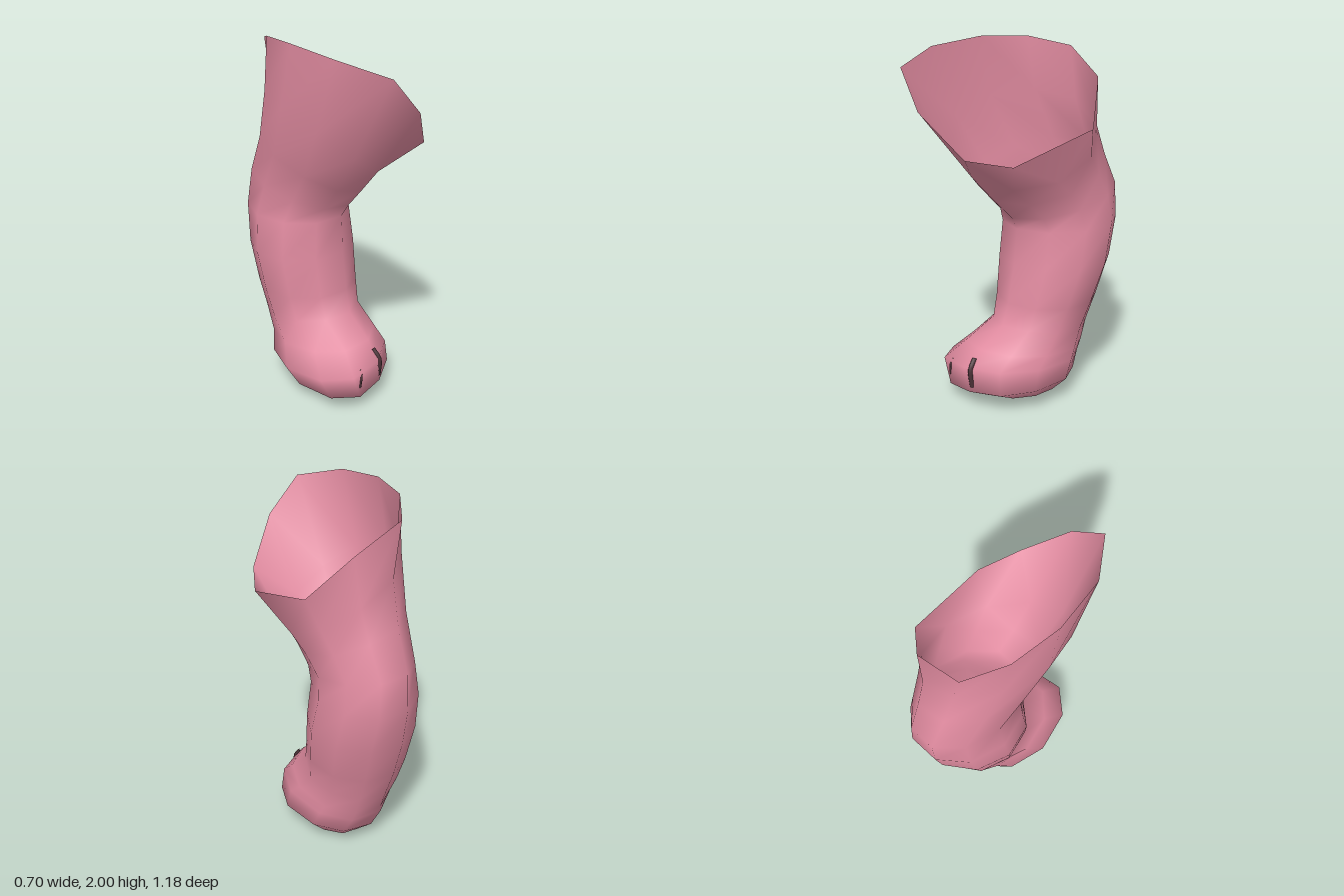
import * as THREE from 'three';

const SIDES = 10;

// Open rim of the thigh, from the front round by the +x side
const RIM = [
  [-0.07, 1.71, 0.59], [0.145, 1.49, 0.475], [0.285, 1.45, 0.285], [0.35, 1.58, -0.19], [0.2, 1.81, -0.37],
  [-0.06, 1.94, -0.42], [-0.22, 1.99, -0.25], [-0.32, 2.0, 0.0], [-0.35, 1.97, 0.3], [-0.25, 1.9, 0.56],
];

// Cross-sections: front z, front y, back z, back y, min x, max x, sideways tilt,
// forward shift of the -x side, backward shift of the +x side, roundness power
const SECTIONS = [
  [0.31, 1.34, -0.42, 1.65, -0.325, 0.295, -0.13, 0.1, 0.075, 1],
  [0.18, 1.19, -0.49, 1.42, -0.26, 0.28, -0.04, 0.07, 0.06, 1],
  [0.08, 1.08, -0.585, 1.21, -0.205, 0.272, 0, 0.04, 0.045, 1],
  [0.04, 1.01, -0.59, 1.0, -0.245, 0.295, 0, 0.035, 0.04, 1],
  [0.055, 0.8, -0.555, 0.78, -0.27, 0.305, 0, 0.025, 0.015, 1],
  [0.09, 0.58, -0.49, 0.55, -0.25, 0.265, 0, 0.01, 0.005, 1],
  [0.125, 0.45, -0.43, 0.39, -0.235, 0.235, 0, 0, 0.01, 1],
  [0.27, 0.34, -0.38, 0.27, -0.28, 0.24, 0, 0.045, 0.04, 0.95],
  [0.36, 0.25, -0.35, 0.20, -0.355, 0.25, 0.02, 0.08, 0.05, 0.9],
  [0.35, 0.11, -0.31, 0.10, -0.29, 0.255, 0.03, 0.09, 0.03, 0.9],
  [0.19, 0.03, -0.22, 0.02, -0.17, 0.16, 0.01, 0.05, 0.03, 1],
];

function sectionRing([fz, fy, bz, by, x0, x1, tilt, leftShift, rightShift, power]) {
  const soften = (v) => Math.sign(v) * Math.abs(v) ** power;
  const widest = Math.sin((2 * Math.PI * 2) / SIDES);
  return Array.from({ length: SIDES }, (_, k) => {
    const a = (k / SIDES) * Math.PI * 2;
    const s = soften(Math.sin(a) / widest), c = soften(Math.cos(a));
    return [
      (x0 + x1) / 2 + ((x1 - x0) / 2) * s,
      (fy + by) / 2 + ((fy - by) / 2) * c + tilt * s,
      (fz + bz) / 2 + ((fz - bz) / 2) * c - (s < 0 ? leftShift : rightShift) * s,
    ];
  });
}

// Skin the rings from the rim down and close the sole
function legGeometry() {
  const rings = [RIM, ...SECTIONS.map(sectionRing)];
  const points = [...rings.flat(), [-0.01, 0, -0.08]];
  const sole = points.length - 1;
  const index = [];
  rings.forEach((_, r) => {
    for (let k = 0; k < SIDES; k++) {
      const a = r * SIDES + k, b = r * SIDES + ((k + 1) % SIDES);
      if (r === rings.length - 1) index.push(a, sole, b);
      else index.push(a, a + SIDES, b, b, a + SIDES, b + SIDES);
    }
  });
  const geometry = new THREE.BufferGeometry();
  geometry.setAttribute('position', new THREE.Float32BufferAttribute(points.flat(), 3));
  geometry.setIndex(index);
  geometry.computeVertexNormals();
  return geometry;
}

export function createModel() {
  const skin = new THREE.MeshStandardMaterial({ color: 0xe28ca1, side: THREE.DoubleSide });
  skin.name = 'pink skin';
  const dark = new THREE.MeshStandardMaterial({ color: 0x4a3237 });
  dark.name = 'dark crease';

  const model = new THREE.Group();
  model.name = 'leg';

  // Thigh, shin and paw as one smooth open skin
  const leg = new THREE.Mesh(legGeometry(), skin);
  leg.name = 'legAndPaw';
  model.add(leg);

  // Short creases between the toes
  const creases = [
    [[-0.025, 0.30, 0.305], [-0.015, 0.245, 0.343], [-0.01, 0.14, 0.336]],
    [[-0.18, 0.25, 0.334], [-0.185, 0.22, 0.35], [-0.195, 0.15, 0.349]],
  ];
  creases.forEach((path, i) => {
    const curve = new THREE.CatmullRomCurve3(path.map((p) => new THREE.Vector3(...p)));
    const crease = new THREE.Mesh(new THREE.TubeGeometry(curve, 8, i ? 0.008 : 0.014, 6), dark);
    crease.name = 'toeCrease' + (i + 1);
    model.add(crease);
  });

  return model;
}
